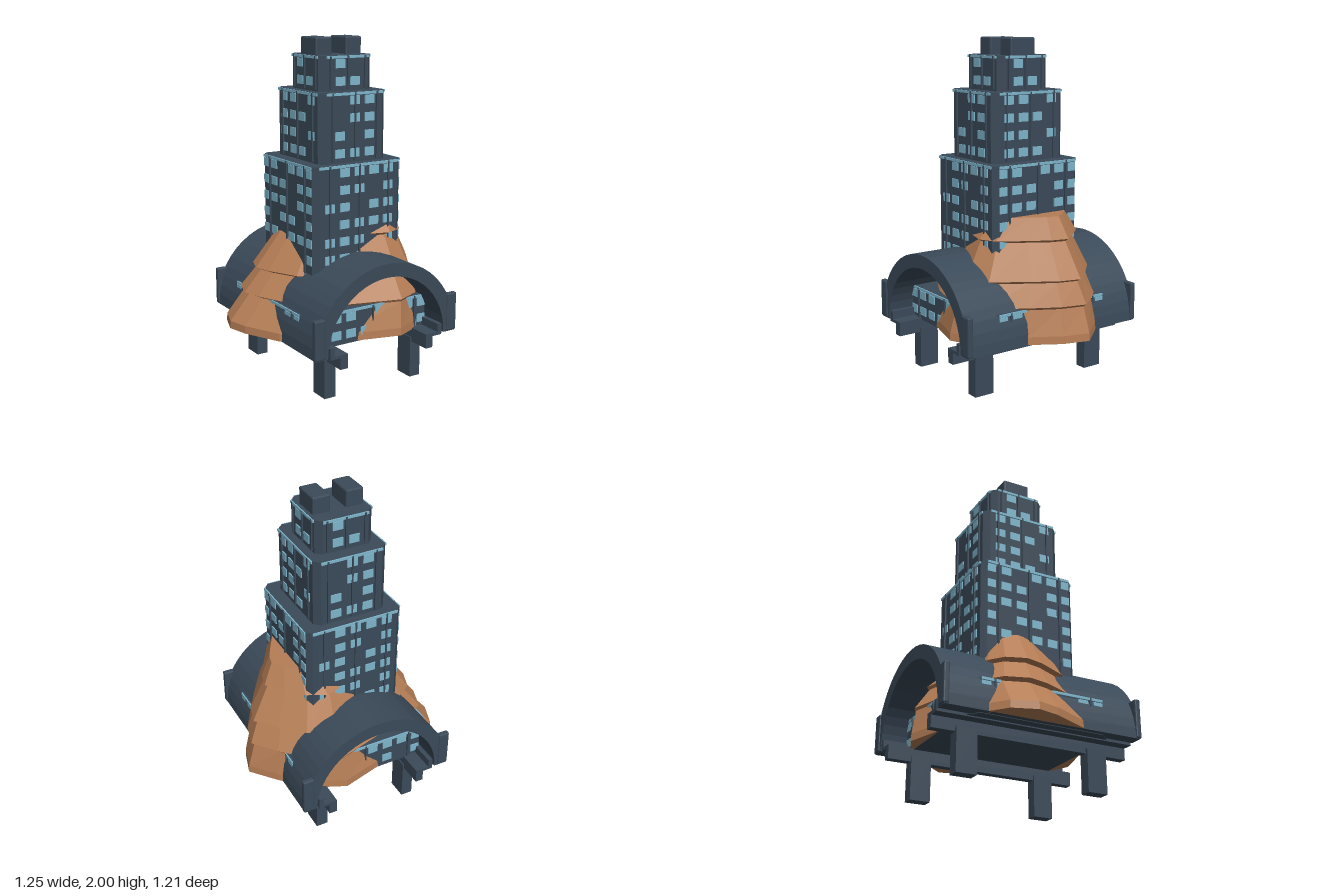
import * as THREE from 'three';
import { mergeGeometries } from 'three/addons/utils/BufferGeometryUtils.js';
import { RoundedBoxGeometry } from 'three/addons/geometries/RoundedBoxGeometry.js';

const mat = (name, color) => {
  const m = new THREE.MeshStandardMaterial({ color, flatShading: true });
  m.name = name;
  return m;
};

export function createModel() {
  const slate = mat('slate', 0x3b4a59);
  const rock = mat('rock', 0xb67e56);
  const glass = mat('glass', 0x7fb6cd);
  const model = new THREE.Group();

  const add = (name, geo, material, parent = model) => {
    const mesh = new THREE.Mesh(geo, material);
    mesh.name = name;
    parent.add(mesh);
    return mesh;
  };
  const boxGeo = (x0, x1, y0, y1, z0, z1) =>
    new THREE.BoxGeometry(x1 - x0, y1 - y0, z1 - z0).translate((x0 + x1) / 2, (y0 + y1) / 2, (z0 + z1) / 2);

  // Block with cut corners
  const chamferedBlock = (hx, hz, c, y0, y1) => {
    const pts = [[hx, -hz + c], [hx, hz - c], [hx - c, hz], [-hx + c, hz],
      [-hx, hz - c], [-hx, -hz + c], [-hx + c, -hz], [hx - c, -hz]];
    const shape = new THREE.Shape(pts.map(([x, z]) => new THREE.Vector2(x, z)));
    return new THREE.ExtrudeGeometry(shape, { depth: y1 - y0, bevelEnabled: false })
      .rotateX(-Math.PI / 2).translate(0, y0, 0);
  };

  // Tower tiers; window rows run from the top down, 1 is a lit window
  const tiers = [
    { name: 'baseTier', hx: 0.446, hz: 0.445, c: 0.07, y0: 0.297, y1: 0.5,
      front: ['11101111', '11110101'], side: ['11011011', '10111101'] },
    { name: 'lowerTier', hx: 0.3, hz: 0.3, c: 0.03, y0: 0.45, y1: 1.3,
      front: ['01111', '01101', '11011', '01111', '11101', '11011', '01110'],
      side: ['110111', '111011', '111011', '101101', '110111', '011101', '110110'] },
    { name: 'middleTier', hx: 0.225, hz: 0.25, c: 0.035, y0: 1.3, y1: 1.7,
      front: ['011', '011', '101', '111'], side: ['1101', '1110', '1101', '1110'] },
    { name: 'upperTier', hx: 0.175, hz: 0.175, c: 0.035, y0: 1.7, y1: 1.9,
      front: ['10', '11'], side: ['10', '11'] },
  ];
  for (const t of tiers) {
    const tier = new THREE.Group();
    tier.name = t.name;
    model.add(tier);
    add('walls', chamferedBlock(t.hx, t.hz, t.c, t.y0, t.y1), slate, tier);
    const windows = [], trims = [], pilasters = [];
    for (let k = 0; k < 4; k++) {
      const isSide = k % 2 === 1;
      const d = isSide ? t.hx : t.hz;
      const half = isSide ? t.hz : t.hx;
      const w = half - t.c;
      const turn = (g) => g.rotateY(k * Math.PI / 2);
      (isSide ? t.side : t.front).forEach((row, r) => {
        [...row].forEach((lit, i) => {
          if (lit === '0') return;
          const x = (i - (row.length - 1) / 2) * 0.1;
          const y = t.y1 - 0.045 - r * 0.1;
          windows.push(turn(boxGeo(Math.max(x - 0.032, -w), Math.min(x + 0.032, w),
            y - 0.025, y + 0.025, d - 0.002, d + 0.006)));
        });
      });
      trims.push(turn(boxGeo(-w, w, t.y1 - 0.016, t.y1 - 0.001, d - 0.001, d + 0.008)));
      for (const s of [-1, 0, 1]) {
        const x = s * half * 0.667;
        pilasters.push(turn(boxGeo(x - 0.005, x + 0.005, t.y0 + 0.01, t.y1 - 0.002, d - 0.002, d + 0.01)));
      }
    }
    add('windows', mergeGeometries(windows), glass, tier);
    add('trim', mergeGeometries(trims), glass, tier);
    add('pilasters', mergeGeometries(pilasters), slate, tier);
  }

  // Twin roof blocks
  for (const s of [-1, 1]) {
    const g = new RoundedBoxGeometry(0.107, 0.11, 0.17, 1, 0.008);
    add('roofBlock', g, slate).position.set(s * 0.101, 1.945, 0);
  }

  // Vaulted tunnel running front to back
  const arch = new THREE.Shape();
  arch.absarc(0, 0, 0.48, 0, Math.PI, false);
  arch.absarc(0, 0, 0.4, Math.PI, 0, true);
  add('tunnelVault', new THREE.ExtrudeGeometry(arch, { depth: 1.2, bevelEnabled: false, curveSegments: 12 })
    .translate(0, 0.3, -0.6), slate);

  // Portal posts, rail beams and legs, mirrored left and right
  for (const s of [-1, 1]) {
    for (const e of [-1, 1]) {
      const post = new RoundedBoxGeometry(0.068, 0.23, 0.034, 1, 0.008);
      add('portalPost', post, slate).position.set(s * 0.453, 0.418, e * 0.59);
      add('leg', new THREE.BoxGeometry(0.072, 0.25, 0.122), slate).position.set(s * 0.3, 0.125, e * 0.4);
    }
    const railParts = [[0.272, 0.32, 0.222, 0.296], [0.272, 0.385, 0.29, 0.308], [0.357, 0.385, 0.3, 0.357]];
    for (const [x0, x1, y0, y1] of railParts) {
      add('railBeam', new THREE.BoxGeometry(x1 - x0, y1 - y0, 1.2), slate)
        .position.set(s * (x0 + x1) / 2, (y0 + y1) / 2, 0);
    }
  }

  // Layered rock: one outline repeated at each level [y, centre x, half x, half z]
  const outline = [[1, -0.25], [0.93, 0.05], [0.77, 0.38], [0.52, 0.86], [0.25, 1], [-0.3, 0.82],
    [-0.6, 0.64], [-0.78, 0.43], [-0.95, 0], [-1, -0.25], [-0.92, -0.53], [-0.76, -0.68],
    [-0.4, -0.78], [0.25, -1], [0.55, -0.84], [0.8, -0.54]];
  const levels = [
    [0.3, 0, 0.627, 0.515], [0.345, 0, 0.624, 0.512], [0.495, 0.04, 0.54, 0.48],
    [0.51, 0.035, 0.565, 0.49], [0.64, 0.058, 0.487, 0.4],
    [0.655, 0.055, 0.515, 0.415], [0.86, 0.075, 0.385, 0.31],
    [0.875, 0.1, 0.38, 0.335], [1.0, 0.16, 0.26, 0.235],
  ];
  const rings = levels.map(([y, cx, ax, az]) => outline.map(([x, z]) => [cx + x * ax, y, z * az]));
  const pos = [];
  const tri = (...p) => p.forEach((v) => pos.push(...v));
  const n = outline.length;
  const last = rings.length - 1;
  for (let i = 0; i < n; i++) {
    const j = (i + 1) % n;
    for (let k = 0; k < last; k++) {
      tri(rings[k][i], rings[k + 1][i], rings[k][j]);
      tri(rings[k][j], rings[k + 1][i], rings[k + 1][j]);
    }
    tri([levels[last][1], 1, 0], rings[last][j], rings[last][i]);
    tri([0, 0.3, 0], rings[0][i], rings[0][j]);
  }
  const rockGeo = new THREE.BufferGeometry();
  rockGeo.setAttribute('position', new THREE.Float32BufferAttribute(pos, 3));
  rockGeo.computeVertexNormals();
  add('rockMound', rockGeo, rock);

  return model;
}
